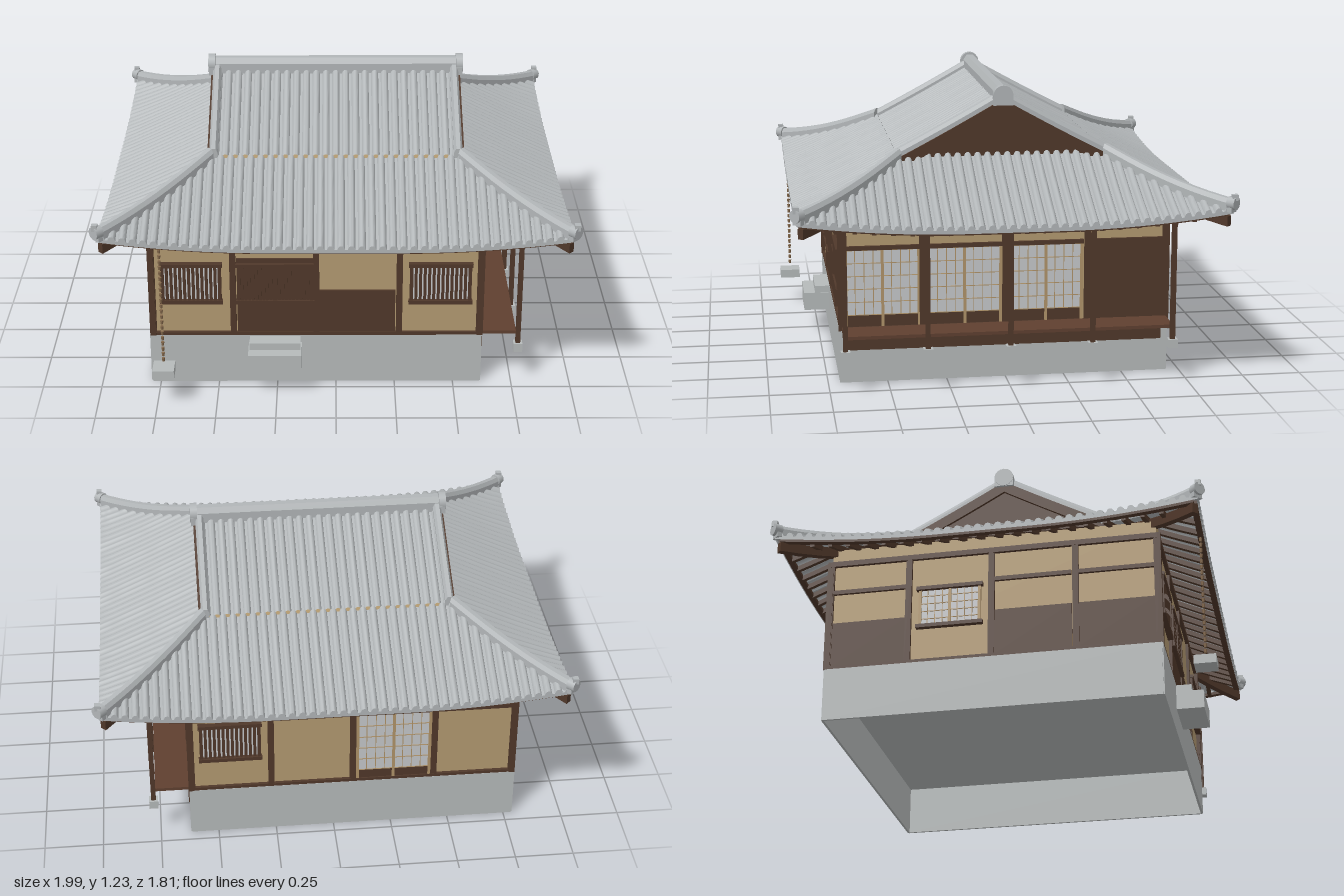
import * as THREE from 'three';
import { toCreasedNormals } from 'three/addons/utils/BufferGeometryUtils.js';

const mat = (name, color, side = THREE.FrontSide) => {
  const m = new THREE.MeshStandardMaterial({ color, side });
  m.name = name;
  return m;
};
const tile = mat('roof tile grey', 0xb2b6b8, THREE.DoubleSide);
const stone = mat('stone grey', 0xb6baba);
const plaster = mat('tan plaster', 0xb39a71);
const wood = mat('dark timber', 0x50382a);
const floorWood = mat('veranda boards', 0x5f4030);
const paper = mat('window paper', 0xc6c8cb);
const lightWood = mat('light lattice wood', 0xb0946a);
const copper = mat('rain chain', 0x85694c);

const RX = 0.97, RZ = 0.88, HIP = 0.44, GABLE = 0.53;

function add(parent, name, geometry, material) {
  const m = new THREE.Mesh(geometry, material);
  m.name = name;
  parent.add(m);
  return m;
}
// box given by its bounds on each axis
function box(parent, name, material, [x0, x1], [y0, y1], [z0, z1]) {
  const m = add(parent, name, new THREE.BoxGeometry(x1 - x0, y1 - y0, z1 - z0), material);
  m.position.set((x0 + x1) / 2, (y0 + y1) / 2, (z0 + z1) / 2);
  return m;
}
// upright section (counter-clockwise) carried along a path
function sweep(parent, name, material, path, section) {
  const pos = [], idx = [], n = section.length, last = path.length - 1;
  path.forEach((p, i) => {
    const t = path[Math.min(i + 1, last)].clone().sub(path[Math.max(i - 1, 0)]);
    const r = new THREE.Vector3(-t.z, 0, t.x).normalize();
    for (const [a, b] of section) pos.push(p.x + r.x * a, p.y + b, p.z + r.z * a);
  });
  for (let i = 0; i < last; i++) for (let k = 0; k < n; k++) {
    const a = i * n + k, b = i * n + (k + 1) % n;
    idx.push(a, a + n, b + n, a, b + n, b);
  }
  for (let k = 1; k < n - 1; k++) idx.push(0, k, k + 1, last * n, last * n + k + 1, last * n + k);
  let g = new THREE.BufferGeometry();
  g.setAttribute('position', new THREE.Float32BufferAttribute(pos, 3));
  g.setIndex(idx);
  g = g.toNonIndexed();
  g.computeVertexNormals();
  return add(parent, name, g, material);
}
const rect = (w, y0, y1) => [[-w, y0], [w, y0], [w, y1], [-w, y1]];
const ridgeSection = (w, h) => [[-w, -0.01], [w, -0.01], [w, h * 0.6], [w * 0.5, h], [-w * 0.5, h], [-w, h * 0.6]];
const steps = (n, f) => Array.from({ length: n + 1 }, (_, i) => f(i / n));

// roof height at depth d behind the eave; c is the distance to the end of the eave
function roofY(d, c) {
  const lift = Math.max(0, 1 - (c + d) / 0.7);
  return 0.72 + 0.45 * d + 0.07 * d * d + 0.05 * lift * lift;
}
// ribbed tile sheet, eave facing local +z
function tileSheet(parent, W, R, half, d0, dEnd, rim) {
  const rolls = Math.round(2 * half / 0.042), cols = rolls * 8, rows = 9, pos = [], idx = [];
  for (let i = 0; i <= cols; i++) {
    const u = -half + 2 * half * i / cols, c = W - Math.abs(u);
    const f = ((i % 8) / 8 - 0.5) / 0.36;
    const rib = 0.017 * Math.sqrt(Math.max(0, 1 - f * f));
    const end = dEnd(u);
    for (let j = 0; j <= rows; j++) {
      const d = d0 + (end - d0) * Math.max(0, j - 1) / (rows - 1);
      const y = roofY(d, c) + (j === 0 && rim ? -0.015 : rib);
      pos.push(u, y, R - d);
    }
  }
  const s = rows + 1;
  for (let i = 0; i < cols; i++) for (let j = 0; j < rows; j++) {
    const a = i * s + j, b = a + s;
    idx.push(a, b, b + 1, a, b + 1, a + 1);
  }
  const g = new THREE.BufferGeometry();
  g.setAttribute('position', new THREE.Float32BufferAttribute(pos, 3));
  g.setIndex(idx);
  add(parent, 'roofTiles', toCreasedNormals(g, 0.8), tile);
}

function buildRoof(root) {
  const roof = new THREE.Group();
  roof.name = 'roof';
  root.add(roof);
  for (let k = 0; k < 4; k++) {
    const main = k % 2 === 0, W = main ? RX : RZ, R = main ? RZ : RX;
    const side = new THREE.Group();
    side.name = main ? 'mainSlope' : 'endSlope';
    side.rotation.y = k * Math.PI / 2;
    roof.add(side);
    const dMax = main ? HIP : HIP + 0.015;
    tileSheet(side, W, R, W, 0, u => Math.min(dMax, W - Math.abs(u)), true);
    if (main) tileSheet(side, W, R, GABLE, HIP, () => RZ, false);
    // eave board and rafters
    sweep(side, 'eaveBoard', wood, steps(28, t => {
      const u = (2 * t - 1) * (W - 0.02);
      return new THREE.Vector3(u, roofY(0, W - Math.abs(u)), R - 0.02);
    }), rect(0.012, -0.022, -0.008));
    const n = Math.round(2 * W / 0.075);
    for (let i = 1; i < n; i++) {
      const u = -W + 2 * W * i / n, c = W - Math.abs(u), end = Math.min(main ? 0.25 : 0.38, c);
      if (end < 0.08) continue;
      sweep(side, 'rafter', wood, steps(3, t => {
        const d = 0.03 + (end - 0.03) * t;
        return new THREE.Vector3(u, roofY(d, c), R - d);
      }), rect(0.009, -0.042, -0.02));
    }
  }
  for (const sx of [-1, 1]) {
    for (const sz of [-1, 1]) {
      const hip = d => new THREE.Vector3(sx * (RX - d), roofY(d, d), sz * (RZ - d));
      sweep(roof, 'hipRidge', tile, steps(10, t => hip(HIP * t)), ridgeSection(0.021, 0.045));
      sweep(roof, 'hipRafter', wood, steps(4, t => hip(0.015 + 0.27 * t)), rect(0.014, -0.072, -0.03));
      const gableEdge = x => steps(8, t => new THREE.Vector3(sx * x, roofY(HIP + HIP * t, 1), sz * HIP * (1 - t)));
      sweep(roof, 'gableRidge', tile, gableEdge(0.516), ridgeSection(0.018, 0.042));
      sweep(roof, 'bargeBoard', wood, gableEdge(0.537), rect(0.006, -0.045, 0.005));
      // round end tiles on the hips
      const cap = add(roof, 'cornerTile', new THREE.CylinderGeometry(0.027, 0.027, 0.035, 12), tile);
      cap.quaternion.setFromUnitVectors(new THREE.Vector3(0, 1, 0), new THREE.Vector3(sx, 0, sz).normalize());
      cap.position.set(sx * 0.966, 0.798, sz * 0.876);
      box(roof, 'cornerCrest', tile, [sx * 0.972 - 0.012, sx * 0.972 + 0.012], [0.81, 0.835], [sz * 0.882 - 0.012, sz * 0.882 + 0.012]);
    }
    const tri = new THREE.Shape([new THREE.Vector2(-0.43, 0.925), new THREE.Vector2(0.43, 0.925), new THREE.Vector2(0, 1.155)]);
    const gable = add(roof, 'gableWall', new THREE.ExtrudeGeometry(tri, { depth: 0.01, bevelEnabled: false }), wood);
    gable.rotation.y = Math.PI / 2;
    gable.position.x = sx * 0.518 - 0.005;
    const end = add(roof, 'ridgeEndTile', new THREE.CylinderGeometry(0.042, 0.042, 0.03, 16), tile);
    end.rotation.z = Math.PI / 2;
    end.position.set(sx * 0.54, 1.192, 0);
    box(roof, 'ridgeEndBase', tile, [sx * 0.54 - 0.013, sx * 0.54 + 0.013], [1.15, 1.185], [-0.042, 0.042]);
  }
  sweep(roof, 'mainRidge', tile, [new THREE.Vector3(-0.54, 1.165, 0), new THREE.Vector3(0.54, 1.165, 0)], ridgeSection(0.03, 0.057));
}

// window with upright slats
function slatWindow(g, u0, u1, y0, y1, count) {
  box(g, 'windowPaper', paper, [u0, u1], [y0, y1], [0, 0.006]);
  for (const y of [y0, y1]) box(g, 'windowRail', wood, [u0 - 0.012, u1 + 0.012], [y - 0.008, y + 0.008], [0, 0.024]);
  for (const u of [u0, u1]) box(g, 'windowStile', wood, [u - 0.007, u + 0.007], [y0, y1], [0, 0.02]);
  for (let i = 1; i < count; i++) {
    const u = u0 + (u1 - u0) * i / count;
    box(g, 'slat', wood, [u - 0.006, u + 0.006], [y0, y1], [0.004, 0.016]);
  }
}
// two sliding paper screens, with optional low timber panel
function screens(g, u0, u1, y0, y1, base) {
  box(g, 'screenPaper', paper, [u0, u1], [base, y1], [0, 0.006]);
  if (base > y0) box(g, 'screenPanel', wood, [u0, u1], [y0, base], [0, 0.008]);
  const bar = (name, u, v, a, b, z) => box(g, name, lightWood, [u, v], [a, b], [0, z]);
  for (let i = 0; i <= 8; i++) {
    const u = u0 + (u1 - u0) * i / 8, w = i % 4 ? 0.0015 : 0.006;
    bar('screenBar', u - w, u + w, i % 4 ? base : y0, y1, i % 4 ? 0.009 : 0.012);
  }
  for (let i = 0; i <= 5; i++) {
    const y = base + (y1 - base) * i / 5;
    bar('screenRung', u0, u1, y - 0.0015, y + 0.0015, 0.009);
  }
}
// wall frame in local space, outward +z, four bays
function wall(root, name, x, z, turn, rails) {
  const g = new THREE.Group();
  g.name = name;
  g.position.set(x, 0, z);
  g.rotation.y = turn;
  root.add(g);
  for (const u of [-0.69, -0.35, 0, 0.35, 0.69]) box(g, 'wallPost', wood, [u - 0.013, u + 0.013], [0.225, 0.72], [-0.012, 0.013]);
  box(g, 'sill', wood, [-0.69, 0.69], [0.222, 0.238], [-0.01, 0.014]);
  box(g, 'topBeam', wood, [-0.69, 0.69], [0.697, 0.72], [-0.01, 0.014]);
  for (const i of rails) box(g, 'rail', wood, [bay(i)[0], bay(i)[1]], [0.567, 0.585], [-0.005, 0.012]);
  return g;
}
const bay = i => [-0.69 + i * 0.345 + 0.012, -0.69 + (i + 1) * 0.345 - 0.012];
const panel = (g, i, top) => box(g, 'timberPanel', wood, bay(i), [0.235, top], [0, 0.008]);

function buildHouse(root) {
  box(root, 'plasterBody', plaster, [-0.775, 0.61], [0.225, 0.78], [-0.685, 0.685]);
  const cx = -0.083;

  const front = wall(root, 'frontWall', cx, 0.685, 0, [1]);
  slatWindow(front, -0.645, -0.405, 0.385, 0.557, 13);
  panel(front, 1, 0.57);
  slatWindow(front, -0.325, -0.175, 0.385, 0.557, 10);
  slatWindow(front, -0.17, -0.02, 0.385, 0.557, 10);
  panel(front, 2, 0.435);
  slatWindow(front, 0.4, 0.645, 0.385, 0.557, 13);

  const back = wall(root, 'backWall', cx, -0.685, Math.PI, [1, 2, 3]);
  slatWindow(back, -0.645, -0.4, 0.385, 0.557, 13);
  screens(back, 0.02, 0.33, 0.238, 0.567, 0.28);

  const right = wall(root, 'rightWall', 0.61, 0, Math.PI / 2, [0, 1, 2, 3]);
  for (let i = 0; i < 3; i++) screens(right, bay(i)[0] + 0.008, bay(i)[1] - 0.008, 0.24, 0.567, 0.29);
  panel(right, 3, 0.57);

  const left = wall(root, 'leftWall', -0.775, 0, -Math.PI / 2, [0, 2, 3]);
  panel(left, 0, 0.435);
  screens(left, -0.3, -0.05, 0.385, 0.557, 0.385);
  for (const y of [0.385, 0.557]) box(left, 'windowRail', wood, [-0.315, -0.035], [y - 0.008, y + 0.008], [0, 0.022]);
  panel(left, 2, 0.435);
  panel(left, 3, 0.435);
}

function buildBase(root) {
  // hollow stone plinth
  for (const s of [-1, 1]) {
    box(root, 'plinthWall', stone, [-0.785, 0.615], [0, 0.225], [s * 0.695 - 0.005, s * 0.695 + 0.005]);
    const x = -0.085 + s * 0.7;
    box(root, 'plinthWall', stone, [x - 0.005, x + 0.005], [0, 0.225], [-0.695, 0.695]);
  }
  box(root, 'plinthTop', stone, [-0.785, 0.615], [0.215, 0.2245], [-0.695, 0.695]);
  // entrance steps
  box(root, 'lowerStep', stone, [-0.37, -0.145], [0.11, 0.19], [0.70, 0.815]);
  box(root, 'upperStep', stone, [-0.365, -0.15], [0.19, 0.22], [0.70, 0.765]);
  // rain chain and basin
  box(root, 'basin', stone, [-0.765, -0.675], [0.13, 0.168], [0.815, 0.905]);
  for (let i = 0; i < 21; i++) {
    const link = add(root, 'chainLink', new THREE.CylinderGeometry(0.007, 0.005, 0.016, 8), copper);
    link.position.set(-0.72, 0.2 + i * 0.0252, 0.86);
  }
}

function buildVeranda(root) {
  const g = new THREE.Group();
  g.name = 'veranda';
  root.add(g);
  box(g, 'verandaFloor', floorWood, [0.622, 0.765], [0.226, 0.24], [-0.69, 0.69]);
  box(g, 'verandaSkirt', wood, [0.615, 0.624], [0.14, 0.226], [-0.67, 0.67]);
  box(g, 'verandaBeam', wood, [0.764, 0.786], [0.69, 0.708], [-0.7, 0.7]);
  for (const z of [-0.685, -0.345, 0, 0.345, 0.685]) {
    box(g, 'verandaPost', wood, [0.765, 0.785], [0.18, 0.7], [z - 0.01, z + 0.01]);
    box(g, 'postStone', stone, [0.756, 0.794], [0.145, 0.182], [z - 0.02, z + 0.02]);
    box(g, 'tieBeam', wood, [0.61, 0.775], [0.677, 0.69], [z - 0.008, z + 0.008]);
  }
}

export function createModel() {
  const root = new THREE.Group();
  root.name = 'house';
  buildBase(root);
  buildHouse(root);
  buildVeranda(root);
  buildRoof(root);
  return root;
}
